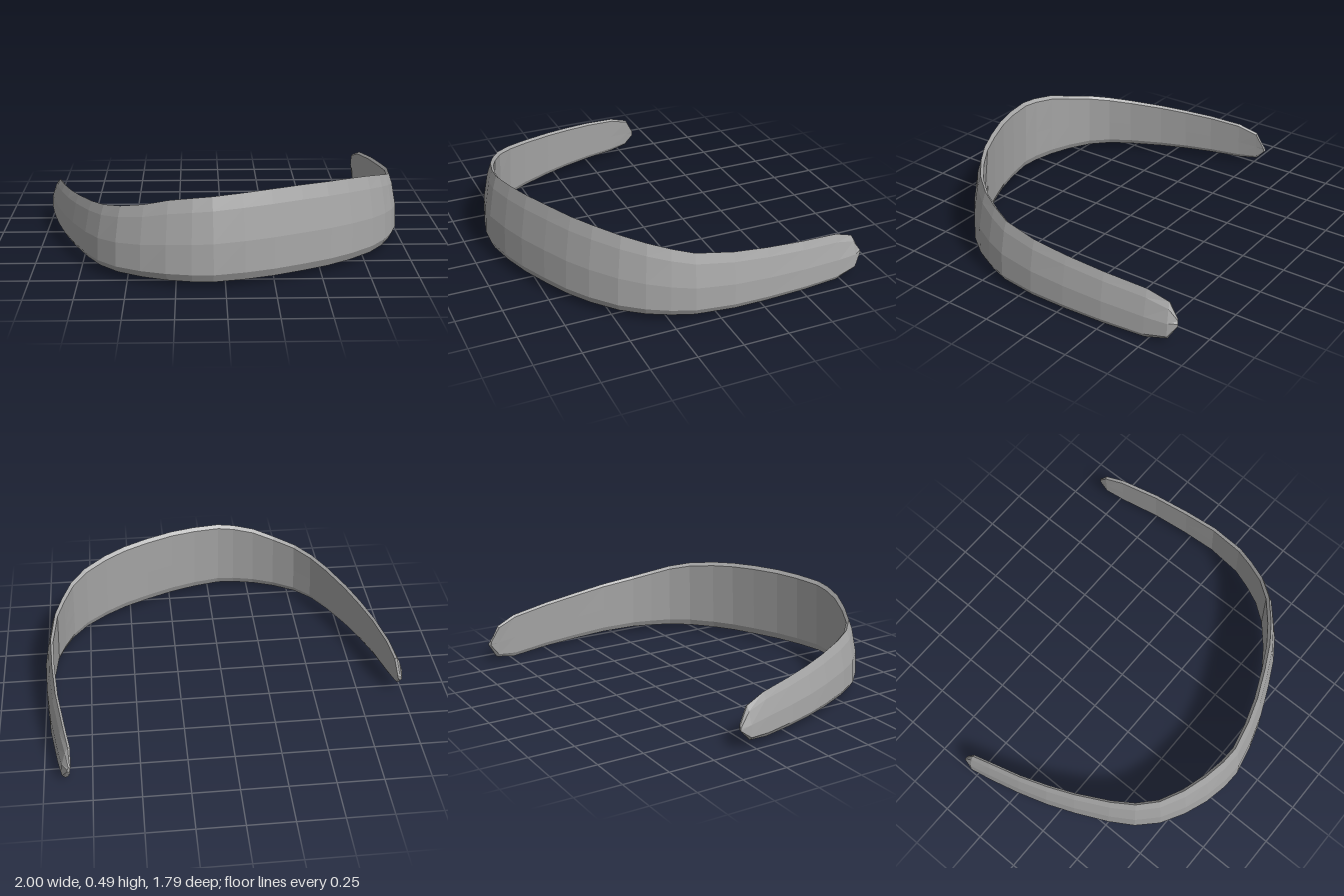
import * as THREE from 'three';

// Stations along the outer edge, from the long arm round the front to the short arm:
// x, z, top, bottom, thickness factor
const STATIONS = [
  [0.875, -0.895, 0.135, 0.105, 0.35],
  [0.905, -0.85, 0.22, 0.025, 0.8],
  [0.93, -0.73, 0.265, 0.0, 0.8],
  [0.968, -0.5, 0.295, 0.012, 0.8],
  [0.988, -0.28, 0.32, 0.02, 0.8],
  [0.996, -0.08, 0.345, 0.027, 0.8],
  [0.975, 0.13, 0.373, 0.031, 0.85],
  [0.935, 0.25, 0.4, 0.033, 0.9],
  [0.88, 0.365, 0.43, 0.035, 0.9],
  [0.795, 0.48, 0.455, 0.035, 0.95],
  [0.67, 0.59, 0.472, 0.035, 1],
  [0.55, 0.67, 0.48, 0.035, 1],
  [0.41, 0.74, 0.485, 0.035, 1],
  [0.25, 0.81, 0.485, 0.035, 1],
  [0.1, 0.858, 0.48, 0.035, 1],
  [-0.06, 0.892, 0.472, 0.035, 1],
  [-0.17, 0.887, 0.463, 0.035, 1],
  [-0.3, 0.86, 0.445, 0.035, 1],
  [-0.43, 0.81, 0.41, 0.035, 0.95],
  [-0.56, 0.735, 0.382, 0.035, 0.9],
  [-0.66, 0.635, 0.36, 0.035, 0.9],
  [-0.735, 0.51, 0.343, 0.035, 0.85],
  [-0.82, 0.33, 0.322, 0.035, 0.8],
  [-0.88, 0.18, 0.305, 0.035, 0.8],
  [-0.93, 0.02, 0.288, 0.035, 0.75],
  [-0.975, -0.16, 0.265, 0.035, 0.75],
  [-1.0, -0.28, 0.225, 0.05, 0.75],
  [-0.985, -0.335, 0.135, 0.105, 0.35],
];

// Bevelled cross-section: inward offset, height from 0 (bottom) to 1 (top)
const SECTION = [
  [0.02, 0], [0, 0.1], [0.006, 0.47], [0.034, 0.84], [0.056, 1],
  [0.072, 0.955], [0.062, 0.47], [0.054, 0.09], [0.038, 0],
];

function bandGeometry() {
  const pos = [], index = [];
  const n = STATIONS.length, m = SECTION.length;
  STATIONS.forEach(([x, z, top, bottom, w], i) => {
    const a = STATIONS[Math.max(i - 1, 0)], b = STATIONS[Math.min(i + 1, n - 1)];
    const t = new THREE.Vector2(b[0] - a[0], b[1] - a[1]).normalize();
    for (const [d, h] of SECTION) {
      pos.push(x - t.y * d * w, bottom + (top - bottom) * h, z + t.x * d * w);
    }
  });
  for (let i = 0; i < n - 1; i++) {
    for (let j = 0; j < m; j++) {
      const k = (j + 1) % m;
      const a = i * m + j, b = i * m + k, c = a + m, d = b + m;
      index.push(a, b, c, b, d, c);
    }
  }
  // End caps
  const last = (n - 1) * m;
  for (let j = 1; j < m - 1; j++) {
    index.push(0, j + 1, j, last, last + j, last + j + 1);
  }
  const g = new THREE.BufferGeometry();
  g.setAttribute('position', new THREE.Float32BufferAttribute(pos, 3));
  g.setIndex(index);
  const flat = g.toNonIndexed();
  flat.computeVertexNormals();
  return flat;
}

export function createModel() {
  const group = new THREE.Group();
  group.name = 'curvedBand';
  const grey = new THREE.MeshStandardMaterial({ color: 0xa6a6a6 });
  grey.name = 'grey';
  const band = new THREE.Mesh(bandGeometry(), grey);
  band.name = 'band';
  group.add(band);
  return group;
}
